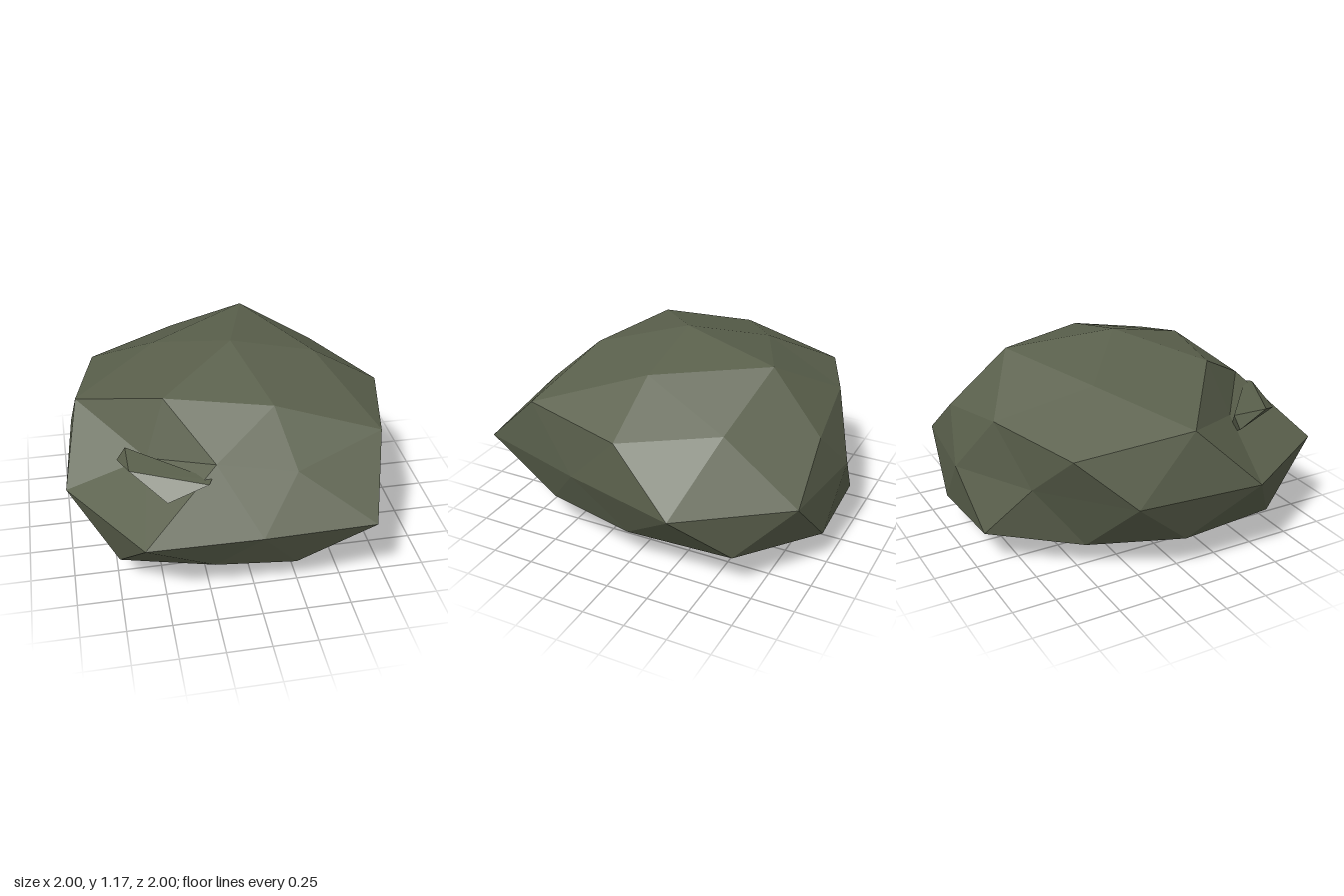
import * as THREE from 'three';
import { ConvexGeometry } from 'three/addons/geometries/ConvexGeometry.js';

const DEPTH = 1.15; // the boulder is a little deeper than wide

// Ring of points from [radius, height] pairs, spread evenly from a start angle
function ring(start, pairs) {
  return pairs.map(([r, y], i) => {
    const a = THREE.MathUtils.degToRad(start + (i * 360) / pairs.length);
    return new THREE.Vector3(r * Math.cos(a), y, DEPTH * r * Math.sin(a));
  });
}

// Boulder: a once-divided icosphere with uneven rings
function boulderGeometry() {
  const top = new THREE.Vector3(0, 1.17, 0);
  const crown = ring(0, [[0.49, 1.06], [0.47, 1.03], [0.54, 1.05], [0.5, 1.02], [0.55, 1.1]]);
  const shoulder = ring(0, [
    [0.88, 0.83], [0.9, 0.87], [0.72, 0.78], [0.67, 0.84], [0.68, 0.74],
    [0.9, 0.88], [0.95, 0.79], [0.78, 0.855], [0.84, 0.785], [0.75, 0.86]]);
  const waist = ring(18, [0.87, 1.055, 0.865, 1.06, 1.05, 0.985, 0.8, 0.87, 1.005, 1.055].map((r) => [r, 0.52]));
  const belly = ring(0, [
    [0.76, 0.21], [0.81, 0.235], [0.74, 0.18], [0.75, 0.235], [0.915, 0.18],
    [0.84, 0.21], [0.71, 0.165], [0.87, 0.21], [0.89, 0.2], [0.95, 0.24]]);
  const foot = ring(36, [[0.49, 0.055], [0.43, 0.005], [0.5, 0.03], [0.475, 0.02], [0.56, 0.045]]);
  const bottom = new THREE.Vector3(0, 0, 0);

  const points = [];
  // Corners are given for the upper half; the lower half is flipped
  const face = (flip, a, b, c) => points.push(a, ...(flip ? [c, b] : [b, c]));

  // Half shell: pole, five-point cap, ten-point ring, shared waist
  function half(pole, cap, wide, shift, flip) {
    for (let k = 0; k < 5; k++) {
      const c0 = cap[k], c1 = cap[(k + 1) % 5];
      const [w0, w1, w2] = [0, 1, 2].map((n) => wide[(2 * k + shift + n) % 10]);
      face(flip, pole, c1, c0);
      face(flip, c0, c1, w1);
      face(flip, c0, w1, w0);
      face(flip, c1, w2, w1);
    }
    for (let j = 0; j < 10; j++) {
      const next = (j + 1) % 10;
      face(flip, wide[j], wide[next], waist[j]);
      face(flip, wide[next], waist[next], waist[j]);
    }
  }
  half(top, crown, shoulder, 0, false);
  half(bottom, foot, belly, 1, true);

  const geometry = new THREE.BufferGeometry().setFromPoints(points);
  geometry.computeVertexNormals();
  return geometry;
}

// Shard: small angular slab sunk into the front hollow
function shardGeometry() {
  return new ConvexGeometry([
    [-0.71, 0.72, 0.42], [-0.66, 0.79, 0.41], [-0.66, 0.785, 0.63], [-0.48, 0.69, 0.82],
    [-0.26, 0.78, 0.82], [-0.24, 0.785, 0.78], [-0.5, 0.6, 0.5],
  ].map((p) => new THREE.Vector3(...p)));
}

export function createModel() {
  const stone = new THREE.MeshStandardMaterial({ color: 0x5a604c, flatShading: true });
  stone.name = 'mossy grey stone';

  const model = new THREE.Group();
  model.name = 'rock';
  const add = (name, geometry) => {
    const mesh = new THREE.Mesh(geometry, stone);
    mesh.name = name;
    model.add(mesh);
  };
  add('boulder', boulderGeometry());
  add('shard', shardGeometry());
  return model;
}
